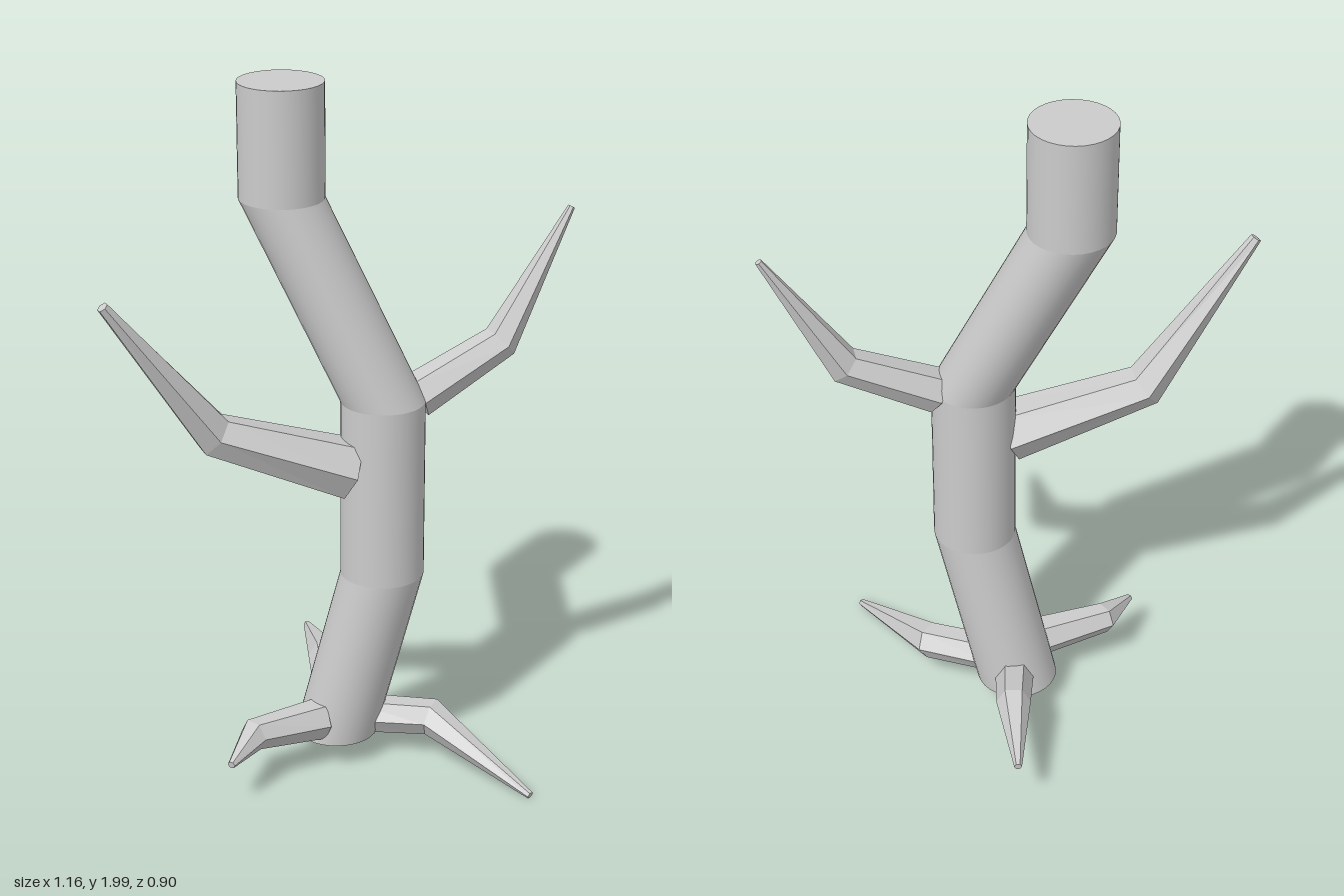
import * as THREE from 'three';

const smooth = new THREE.MeshStandardMaterial({ color: 0xcccccc });
const faceted = new THREE.MeshStandardMaterial({ color: 0xcccccc, flatShading: true });

// Sheared cylinder between two level discs, so the trunk keeps horizontal joints
function trunkSegment([x0, y0], [x1, y1], radius) {
  const h = y1 - y0;
  const g = new THREE.CylinderGeometry(radius, radius, h, 32, 1, true);
  const shear = new THREE.Matrix4().set(
    1, (x1 - x0) / h, 0, (x0 + x1) / 2,
    0, 1, 0, (y0 + y1) / 2,
    0, 0, 1, 0.014,
    0, 0, 0, 1);
  return g.applyMatrix4(shear);
}

// Tapered limb: six-sided rings set square to a bent path, closed at both ends
function limb(points, radii, sides = 6) {
  const pts = points.map(p => new THREE.Vector3(...p));
  const pos = [], index = [];
  const up = new THREE.Vector3(0, 1, 0);
  const last = pts.length - 1;
  pts.forEach((p, i) => {
    const dir = new THREE.Vector3();
    if (i > 0) dir.add(p.clone().sub(pts[i - 1]).normalize());
    if (i < last) dir.add(pts[i + 1].clone().sub(p).normalize());
    dir.normalize();
    const u = new THREE.Vector3().crossVectors(dir, up).normalize();
    const v = new THREE.Vector3().crossVectors(dir, u);
    for (let k = 0; k < sides; k++) {
      const a = (k / sides) * Math.PI * 2;
      const q = p.clone()
        .addScaledVector(u, Math.cos(a) * radii[i])
        .addScaledVector(v, Math.sin(a) * radii[i]);
      pos.push(q.x, q.y, q.z);
    }
  });
  for (let i = 0; i < last; i++) {
    for (let k = 0; k < sides; k++) {
      const a = i * sides + k, b = i * sides + (k + 1) % sides;
      index.push(a, b, b + sides, a, b + sides, a + sides);
    }
  }
  const e = last * sides;
  for (let k = 1; k < sides - 1; k++) {
    index.push(0, k + 1, k, e, e + k, e + k + 1);
  }
  const g = new THREE.BufferGeometry();
  g.setAttribute('position', new THREE.Float32BufferAttribute(pos, 3));
  g.setIndex(index);
  const flat = g.toNonIndexed();
  flat.computeVertexNormals();
  return flat;
}

export function createModel() {
  const model = new THREE.Group();
  model.name = 'bareTree';
  const add = (name, geometry, material, parent = model) => {
    const mesh = new THREE.Mesh(geometry, material);
    mesh.name = name;
    parent.add(mesh);
    return mesh;
  };

  // Trunk: bent column of constant width
  const trunk = new THREE.Group();
  trunk.name = 'trunk';
  model.add(trunk);
  const R = 0.118;
  const path = [[-0.04, 0.08], [0.092, 0.595], [0.092, 1.115], [-0.187, 1.68], [-0.187, 2]];
  for (let i = 0; i < path.length - 1; i++) {
    add('trunkSegment' + (i + 1), trunkSegment(path[i], path[i + 1], R), smooth, trunk);
  }
  const top = add('trunkTop', new THREE.CircleGeometry(R, 32).rotateX(-Math.PI / 2), smooth, trunk);
  top.position.set(-0.187, 2, 0.014);
  const bottom = add('trunkBottom', new THREE.CircleGeometry(R, 32).rotateX(Math.PI / 2), smooth, trunk);
  bottom.position.set(-0.04, 0.08, 0.014);

  // Branches
  add('rightBranch', limb(
    [[0.01, 0.93, 0.075], [-0.335, 1.07, 0.235], [-0.573, 1.49, 0.44]],
    [0.088, 0.063, 0.016]), faceted);
  add('leftBranch', limb(
    [[0.175, 1.11, -0.045], [0.39, 1.235, -0.185], [0.565, 1.6, -0.305]],
    [0.064, 0.052, 0.01]), faceted);

  // Roots
  add('leftRoot', limb(
    [[0, 0.13, 0.01], [0.235, 0.128, -0.005], [0.55, 0.015, 0.195]],
    [0.056, 0.054, 0.011]), faceted);
  add('backRoot', limb(
    [[-0.05, 0.125, -0.03], [-0.12, 0.187, -0.225], [-0.218, 0.167, -0.447]],
    [0.058, 0.05, 0.011]), faceted);
  add('frontRoot', limb(
    [[-0.07, 0.15, 0.1], [-0.235, 0.16, 0.245], [-0.27, 0.137, 0.385]],
    [0.06, 0.046, 0.011]), faceted);

  return model;
}
